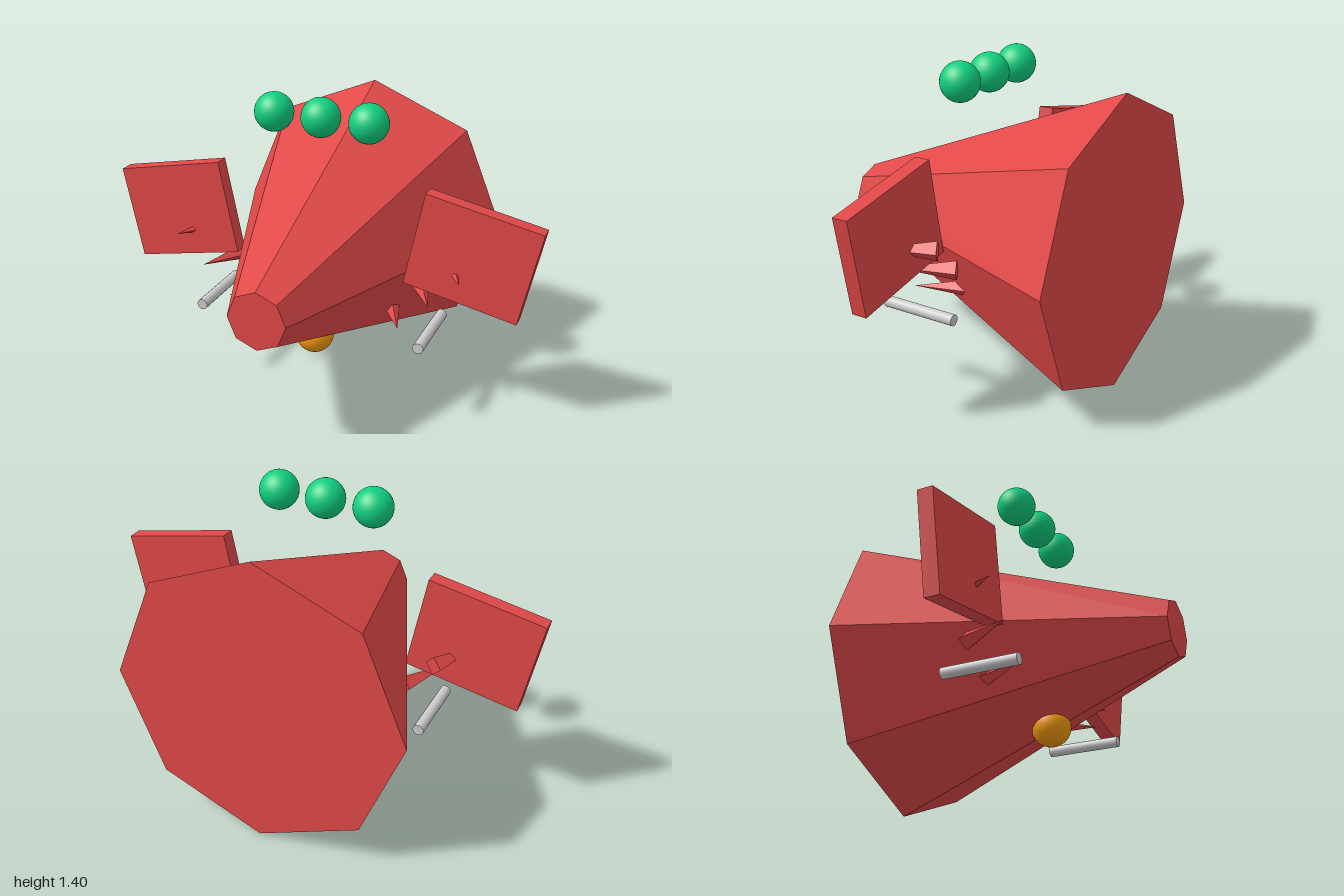
import * as THREE from 'three';

const red = new THREE.MeshStandardMaterial({ color: 0xe04848, flatShading: true });
const green = new THREE.MeshStandardMaterial({ color: 0x10d080 });
const orange = new THREE.MeshStandardMaterial({ color: 0xf59a10 });
const grey = new THREE.MeshStandardMaterial({ color: 0xcccccc });

export function createModel() {
  const model = new THREE.Group();
  const add = (name, geometry, material, x, y, z) => {
    const mesh = new THREE.Mesh(geometry, material);
    mesh.name = name;
    mesh.position.set(x, y, z);
    model.add(mesh);
    return mesh;
  };

  // Eight-sided body, tapering towards the front
  add('body', new THREE.CylinderGeometry(0.131, 0.656, 1.312, 8).rotateX(Math.PI / 2), red, 0, 0.656, 0);

  // Row of balls floating above the body
  const ball = new THREE.SphereGeometry(0.087, 32, 16);
  for (const x of [-0.219, 0, 0.219]) add('topBall', ball, green, x, 1.315, 0);

  // Ball sunk into the underside
  add('bellyBall', ball, orange, 0, 0.307, 0.068);

  const wing = new THREE.BoxGeometry(0.52, 0.435, 0.07);
  const spike = new THREE.ConeGeometry(0.044, 0.262, 4).rotateX(Math.PI / 2);
  const rod = new THREE.CylinderGeometry(0.025, 0.025, 0.346, 16).rotateX(Math.PI / 2);

  for (const [side, s] of [['left', 1], ['right', -1]]) {
    // Drooping flat wing
    add(side + 'Wing', wing, red, s * 0.7, 0.79, 0).rotation.z = -s * 0.2;

    // Three spikes stepping down and inwards, splayed outwards
    for (let i = 0; i < 3; i++) {
      add(side + 'Spike', spike, red, s * (0.617 - i * 0.132), 0.703 - i * 0.131, -0.003).rotation.y = s * 0.46;
    }

    // Rod under the wing
    add(side + 'Rod', rod, grey, s * 0.525, 0.397, 0);
  }
  return model;
}
